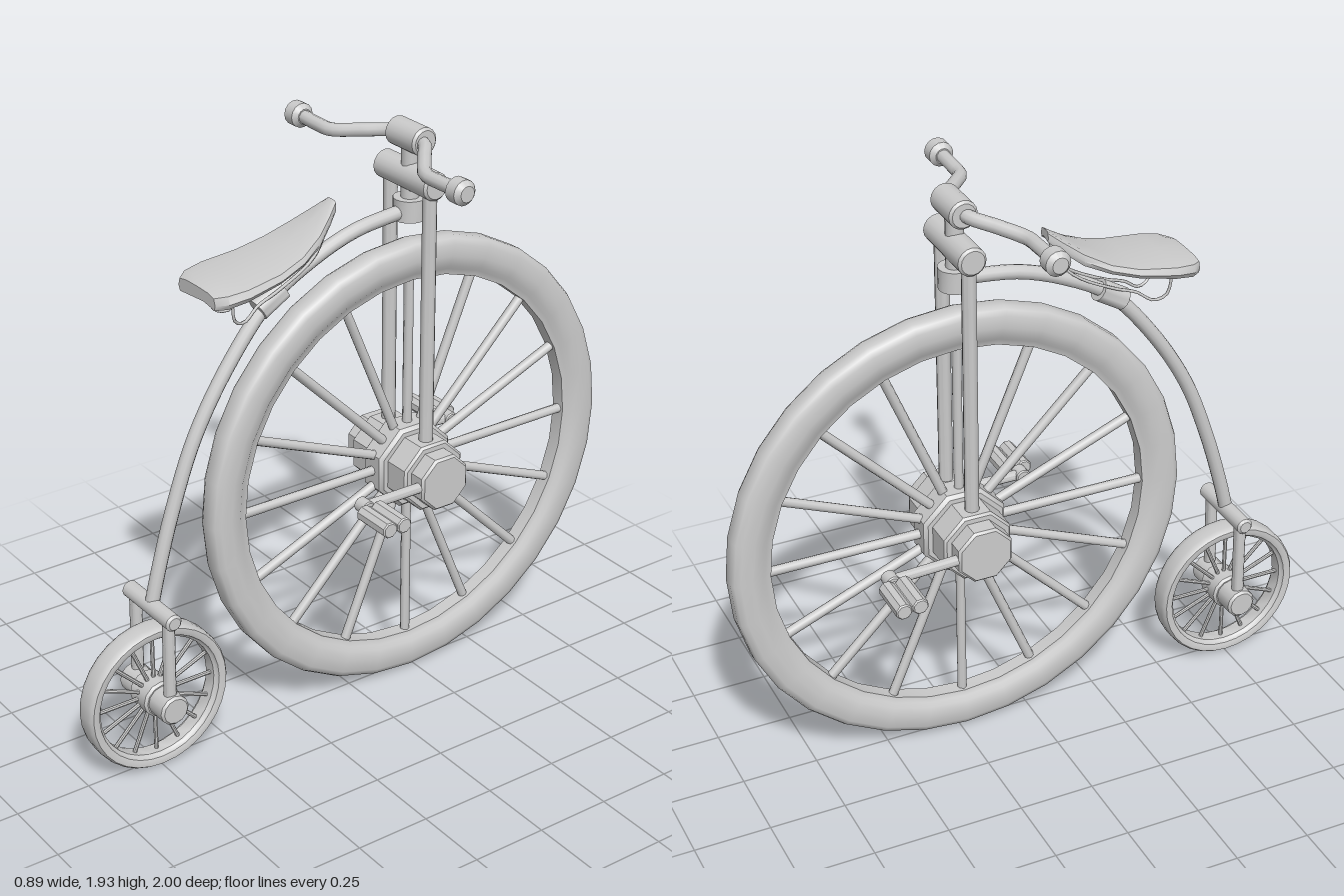
import * as THREE from 'three';
import { toCreasedNormals } from 'three/addons/utils/BufferGeometryUtils.js';

const V = (x, y, z) => new THREE.Vector3(x, y, z);
const mat = new THREE.MeshStandardMaterial({ color: 0xcccccc });
const matDouble = new THREE.MeshStandardMaterial({ color: 0xcccccc, side: THREE.DoubleSide });

function add(parent, name, geometry, material = mat) {
  const mesh = new THREE.Mesh(geometry, material);
  mesh.name = name;
  parent.add(mesh);
  return mesh;
}

// Straight round bar between two points
function bar(parent, name, a, b, r, sides = 12) {
  const d = b.clone().sub(a);
  const g = new THREE.CylinderGeometry(r, r, d.length(), sides);
  const mesh = add(parent, name, toCreasedNormals(g, 0.9));
  mesh.position.copy(a).add(b).multiplyScalar(0.5);
  mesh.quaternion.setFromUnitVectors(V(0, 1, 0), d.normalize());
  return mesh;
}

// Surface turned around the x axis from [radius, x] points
function turned(parent, name, pts, sides, crease = 0.6, phase = 0) {
  const g = new THREE.LatheGeometry(pts.map(p => new THREE.Vector2(p[0], p[1])), sides, phase);
  g.rotateZ(-Math.PI / 2);
  return add(parent, name, toCreasedNormals(g, crease));
}

// Cylinder along x with slightly bevelled ends
function drum(parent, name, halfLength, r, sides, bevel = 0.008, phase = 0) {
  return turned(parent, name, [
    [0, -halfLength], [r - bevel, -halfLength], [r, -halfLength + bevel],
    [r, halfLength - bevel], [r - bevel, halfLength], [0, halfLength],
  ], sides, 0.6, phase);
}

// Tyre, rim and radial spokes around the local origin
function wheel(name, outer, inner, halfWidth, sides, spokeR, spokeStart) {
  const g = new THREE.Group();
  g.name = name;
  const w = halfWidth, t = outer - inner;
  turned(g, 'tyre', [
    [inner, -w * 0.55], [inner + t * 0.15, -w * 0.65], [inner + t * 0.25, -w * 0.9],
    [inner + t * 0.5, -w], [inner + t * 0.8, -w], [outer - t * 0.06, -w * 0.8], [outer, -w * 0.45],
    [outer, w * 0.45], [outer - t * 0.06, w * 0.8], [inner + t * 0.8, w], [inner + t * 0.5, w],
    [inner + t * 0.25, w * 0.9], [inner + t * 0.15, w * 0.65], [inner, w * 0.55], [inner, -w * 0.55],
  ], sides, 0.75);
  for (let i = 0; i < 16; i++) {
    const a = i * Math.PI / 8, c = Math.cos(a), s = Math.sin(a);
    bar(g, 'spoke', V(0, s * spokeStart, c * spokeStart),
      V(0, s * (inner + 0.01), c * (inner + 0.01)), spokeR, 8);
  }
  return g;
}

// Saddle lofted from cross-sections [z, half width, top y, bottom y]
function saddle(parent) {
  const sections = [
    [0.065, 0.025, 1.75, 1.715], [0.1, 0.048, 1.725, 1.685], [0.16, 0.083, 1.685, 1.64],
    [0.24, 0.112, 1.643, 1.607], [0.33, 0.129, 1.617, 1.58], [0.45, 0.14, 1.603, 1.557],
    [0.515, 0.128, 1.596, 1.545], [0.548, 0.1, 1.588, 1.54],
  ];
  // Ring of [x factor, height factor] going around the section
  const ring = [[1, 0.35], [0.93, 0.82], [0.6, 0.97], [0, 1], [-0.6, 0.97], [-0.93, 0.82], [-1, 0.35],
    [-0.92, 0], [-0.8, 0.1], [0, 0.35], [0.8, 0.1], [0.92, 0]];
  const n = ring.length, pos = [], idx = [];
  for (const [z, w, top, bottom] of sections)
    for (const [u, v] of ring) pos.push(u * w, bottom + v * (top - bottom), z);
  for (let s = 0; s < sections.length - 1; s++)
    for (let i = 0; i < n; i++) {
      const a = s * n + i, b = s * n + (i + 1) % n;
      idx.push(a, a + n, b, b, a + n, b + n);
    }
  const last = (sections.length - 1) * n;
  for (let i = 1; i < n - 1; i++) {
    idx.push(0, i, i + 1);
    idx.push(last, last + i + 1, last + i);
  }
  const g = new THREE.BufferGeometry();
  g.setAttribute('position', new THREE.Float32BufferAttribute(pos, 3));
  g.setIndex(idx);
  // Sections run towards +z, so flip to face outwards
  for (let i = 0; i < idx.length; i += 3) g.index.setXYZ(i / 3, 0, 0, 0);
  const flipped = [];
  for (let i = 0; i < idx.length; i += 3) flipped.push(idx[i], idx[i + 1], idx[i + 2]);
  g.setIndex(flipped);
  add(parent, 'saddle', toCreasedNormals(g, 0.7), matDouble);
}

function tube(parent, name, pts, r, segments, sides = 10) {
  const curve = new THREE.CatmullRomCurve3(pts);
  return add(parent, name, new THREE.TubeGeometry(curve, segments, r, sides));
}

export function createModel() {
  const model = new THREE.Group();
  model.name = 'highWheelBicycle';
  const hubY = 0.78, hubZ = -0.23, rearY = 0.255, rearZ = 0.75;

  // Large wheel with stepped octagonal hub
  const big = wheel('largeWheel', 0.77, 0.64, 0.045, 32, 0.016, 0.1);
  big.position.set(0, hubY, hubZ);
  const flat = Math.PI / 8;
  drum(big, 'hubCentre', 0.05, 0.15, 8, 0.012, flat);
  drum(big, 'hubMiddle', 0.145, 0.122, 8, 0.008, flat);
  drum(big, 'hubEnd', 0.205, 0.097, 8, 0.008, flat);
  model.add(big);

  // Small wheel with hub
  const small = wheel('smallWheel', 0.25, 0.207, 0.042, 32, 0.007, 0.03);
  small.position.set(0, rearY, rearZ);
  drum(small, 'smallHub', 0.13, 0.05, 12);
  drum(small, 'smallHubCentre', 0.05, 0.062, 12);
  model.add(small);

  // Front and rear fork legs
  for (const s of [-1, 1]) {
    bar(model, 'frontForkLeg', V(s * 0.1, hubY, hubZ), V(s * 0.1, 1.76, hubZ), 0.023);
    bar(model, 'rearForkLeg', V(s * 0.096, rearY, rearZ), V(s * 0.096, 0.57, 0.745), 0.02);
  }
  drum(model, 'frontForkCrown', 0.135, 0.046, 16).position.set(0, 1.76, hubZ);
  drum(model, 'rearForkCrown', 0.135, 0.028, 14).position.set(0, 0.57, 0.745);

  // Steering head, stem and handlebar
  bar(model, 'steeringHead', V(0, 1.62, hubZ), V(0, 1.69, hubZ), 0.053, 16);
  bar(model, 'stem', V(0, 1.64, hubZ), V(0, 1.88, hubZ), 0.029);
  drum(model, 'handlebarClamp', 0.075, 0.046, 16).position.set(0, 1.885, hubZ);
  for (const s of [-1, 1]) {
    tube(model, 'handlebar', [V(0, 1.885, hubZ), V(s * 0.08, 1.883, -0.22), V(s * 0.16, 1.873, -0.16),
      V(s * 0.24, 1.862, -0.105), V(s * 0.3, 1.862, -0.1), V(s * 0.4, 1.865, -0.1)], 0.022, 20);
    drum(model, 'grip', 0.035, 0.04, 14, 0.015).position.set(s * 0.41, 1.865, -0.1);
  }

  // Curved backbone from the head to the rear fork
  const spine = [[-0.2, 1.648], [-0.02, 1.625], [0.14, 1.567], [0.29, 1.48], [0.44, 1.31],
    [0.57, 1.1], [0.66, 0.87], [0.72, 0.67], [0.745, 0.57]];
  tube(model, 'backbone', spine.map(([z, y]) => V(0, y, z)), 0.023, 36, 12);

  // Saddle with clamp and wire springs
  saddle(model);
  bar(model, 'saddleClamp', V(0, 1.505, 0.25), V(0, 1.455, 0.335), 0.037, 14);
  const wire = [[0.08, 1.72, 0.012], [0.12, 1.62, 0.02], [0.17, 1.575, 0.03], [0.29, 1.515, 0.035],
    [0.36, 1.49, 0.04], [0.415, 1.455, 0.05], [0.455, 1.47, 0.06], [0.47, 1.565, 0.07]];
  for (const s of [-1, 1])
    tube(model, 'saddleSpring', wire.map(([z, y, x]) => V(s * x, y, z)), 0.005, 32, 6);

  // Cranks and pedals on opposite sides
  for (const [s, z, y] of [[1, 0.07, 0.782], [-1, -0.54, 0.766]]) {
    bar(model, 'crank', V(s * 0.182, hubY, hubZ), V(s * 0.182, y, z), 0.017);
    drum(model, 'crankEnd', 0.025, 0.025, 12, 0.004).position.set(s * 0.182, y, z);
    bar(model, 'pedalAxle', V(s * 0.18, y, z), V(s * 0.35, y, z), 0.011, 8);
    const pedal = new THREE.Group();
    pedal.name = 'pedal';
    for (const d of [-1, 1])
      drum(pedal, 'pedalBlock', 0.072, 0.027, 8, 0.004, flat).position.z = d * 0.027;
    pedal.position.set(s * 0.283, y, z);
    pedal.rotation.x = s < 0 ? -0.08 : 0;
    model.add(pedal);
  }
  return model;
}
